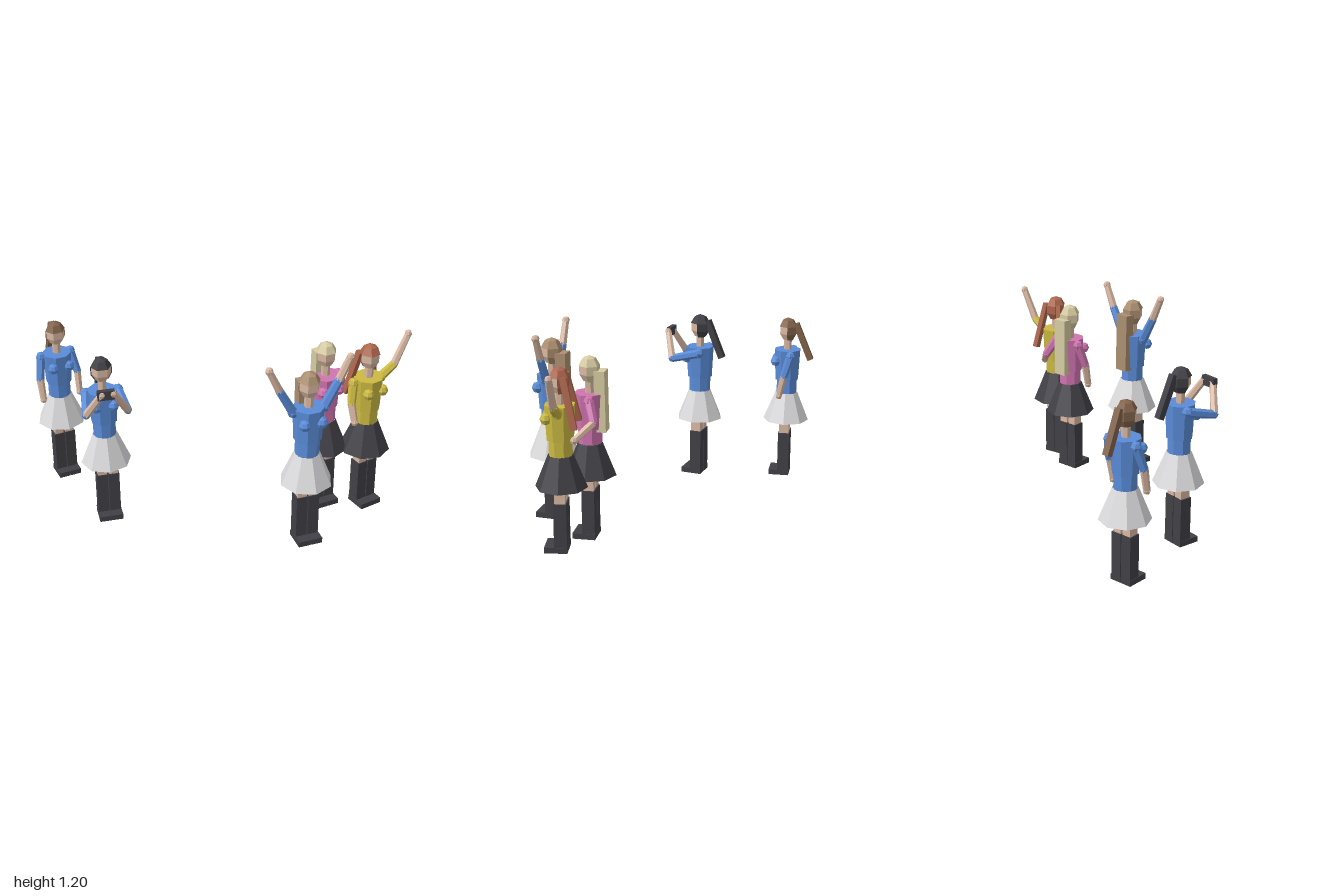
import * as THREE from 'three';

const mat = (name, color) => {
  const m = new THREE.MeshStandardMaterial({ color, flatShading: true, side: THREE.DoubleSide });
  m.name = name;
  return m;
};

export function createModel() {
  const skin = mat('skin', 0xd9b8a2), dark = mat('charcoal', 0x404046), pale = mat('pale grey', 0xdcdcde);
  const blue = mat('blue', 0x5a8cd8), pink = mat('pink', 0xd074b0), yellow = mat('yellow', 0xcbb942);
  const tan = mat('light brown hair', 0xab8f70), blond = mat('blond hair', 0xd6cba2);
  const red = mat('red hair', 0xad664c), brown = mat('brown hair', 0x82634b);

  const add = (parent, name, geo, material, x = 0, y = 0, z = 0) => {
    const m = new THREE.Mesh(geo, material);
    m.name = name;
    m.position.set(x, y, z);
    parent.add(m);
    return m;
  };
  const box = (w, h, d) => new THREE.BoxGeometry(w, h, d);
  const vec = (p) => new THREE.Vector3(...p);
  // Aligns a mesh's y axis with the line from a to b
  const span = (mesh, a, b) => {
    mesh.position.copy(a).add(b).multiplyScalar(0.5);
    mesh.quaternion.setFromUnitVectors(new THREE.Vector3(0, 1, 0), b.clone().sub(a).normalize());
  };
  const ring = (rt, rb, h) => new THREE.CylinderGeometry(rt, rb, h, 8).rotateY(Math.PI / 8);

  // Sleeve from shoulder to elbow, bare forearm from elbow to hand
  function arm(g, name, points, top) {
    const [s, e, h] = points.map(vec);
    const a = new THREE.Group();
    a.name = name;
    g.add(a);
    add(a, 'shoulder', new THREE.SphereGeometry(0.034, 6, 4), top, s.x, s.y, s.z);
    span(add(a, 'sleeve', new THREE.CylinderGeometry(0.03, 0.026, s.distanceTo(e), 6), top), e, s);
    add(a, 'elbow', new THREE.SphereGeometry(0.026, 6, 4), top, e.x, e.y, e.z);
    span(add(a, 'forearm', new THREE.CylinderGeometry(0.021, 0.025, e.distanceTo(h), 6), skin), e, h);
    add(a, 'hand', new THREE.SphereGeometry(0.024, 6, 4), skin, h.x, h.y, h.z);
  }

  // Strand of hair between two points
  function strand(g, a, b, w, d) {
    const [p, q] = [vec(a), vec(b)];
    return (material) => span(add(g, 'hairStrand', box(w, p.distanceTo(q), d), material), q, p);
  }

  function girl({ name, at, scale, turn, top, skirt, hair, style, right, left }) {
    const g = new THREE.Group();
    g.name = name;
    g.position.set(at[0], 0, at[1]);
    g.scale.setScalar(scale);
    g.rotation.y = turn;

    // Legs, boots and shoes
    for (const s of [-1, 1]) {
      add(g, 'shoe', box(0.073, 0.035, 0.14), dark, s * 0.038, 0.0175, 0.035);
      add(g, 'boot', box(0.068, 0.275, 0.078), dark, s * 0.037, 0.1725, 0.005);
      add(g, 'leg', box(0.056, 0.28, 0.066), skin, s * 0.035, 0.45, 0.005);
      add(g, 'bust', new THREE.SphereGeometry(0.036, 8, 4), top, s * 0.053, 0.83, 0.075);
    }
    // Skirt and torso
    add(g, 'skirt', new THREE.CylinderGeometry(0.076, 0.157, 0.2, 8, 1, true), skirt, 0, 0.5, 0);
    add(g, 'waist', ring(0.072, 0.072, 0.1), top, 0, 0.645, 0);
    add(g, 'torso', ring(0.093, 0.082, 0.215), top, 0, 0.8, 0);
    add(g, 'neck', new THREE.CylinderGeometry(0.027, 0.027, 0.09, 6), skin, 0, 0.94, 0);

    // Head with hair over the crown and the back
    add(g, 'head', new THREE.SphereGeometry(1, 6, 5).scale(0.063, 0.08, 0.063), skin, 0, 1.045, 0);
    add(g, 'hairCrown', new THREE.SphereGeometry(1, 6, 2, 0, Math.PI * 2, 0, Math.PI * 0.4)
      .scale(0.069, 0.086, 0.069), hair, 0, 1.045, 0);
    add(g, 'hairBack', new THREE.SphereGeometry(1, 3, 2, Math.PI, Math.PI, Math.PI * 0.4, Math.PI * 0.4)
      .scale(0.069, 0.086, 0.069), hair, 0, 1.045, 0);
    if (style === 'long') strand(g, [0, 1.045, -0.068], [0, 0.675, -0.073], 0.09, 0.065)(hair);
    if (style === 'ponytail') strand(g, [0, 1.09, -0.055], [0, 0.84, -0.16], 0.042, 0.04)(hair);
    if (style === 'pigtails') for (const s of [-1, 1])
      strand(g, [s * 0.055, 1.08, -0.03], [s * 0.1, 0.78, -0.095], 0.032, 0.04)(hair);

    arm(g, 'rightArm', right, top);
    arm(g, 'leftArm', left, top);
    return g;
  }

  const mirror = (points) => points.map(([x, y, z]) => [-x, y, z]);
  const raised = [[0.095, 0.885, 0], [0.18, 1.04, 0], [0.245, 1.18, 0]];
  const hanging = [[0.1, 0.88, -0.03], [0.128, 0.74, 0.01], [0.125, 0.6, 0.04]];
  const holding = [[0.1, 0.88, -0.03], [0.127, 0.835, 0.155], [0.035, 1.0, 0.22]];

  const model = new THREE.Group();
  model.name = 'groupOfGirls';
  model.add(girl({
    name: 'cheeringGirl', at: [0.198, 0.66], scale: 1, turn: -0.1, top: blue, skirt: pale,
    hair: tan, style: 'long', right: mirror(raised), left: raised,
  }));
  model.add(girl({
    name: 'pinkGirl', at: [0.475, 0.36], scale: 0.98, turn: 0, top: pink, skirt: dark,
    hair: blond, style: 'long', right: mirror(hanging),
    left: [[0.1, 0.88, -0.02], [0.16, 0.77, -0.06], [0.26, 0.69, 0.03]],
  }));
  model.add(girl({
    name: 'yellowGirl', at: [0.705, 0.475], scale: 0.97, turn: 0.12, top: yellow, skirt: dark,
    hair: red, style: 'pigtails',
    right: [[-0.1, 0.88, -0.02], [-0.13, 0.76, 0.01], [-0.13, 0.645, 0.05]],
    left: [[0.095, 0.875, 0], [0.185, 0.94, 0.01], [0.278, 1.13, 0.015]],
  }));
  const photographer = girl({
    name: 'photographer', at: [-0.768, -0.075], scale: 0.96, turn: -0.2, top: blue, skirt: pale,
    hair: dark, style: 'ponytail', right: mirror(holding), left: holding,
  });
  add(photographer, 'camera', box(0.105, 0.06, 0.03), dark, -0.01, 0.995, 0.215);
  model.add(photographer);
  model.add(girl({
    name: 'standingGirl', at: [-0.85, -0.645], scale: 0.945, turn: 0, top: blue, skirt: pale,
    hair: brown, style: 'ponytail', right: mirror(hanging), left: hanging,
  }));
  return model;
}
